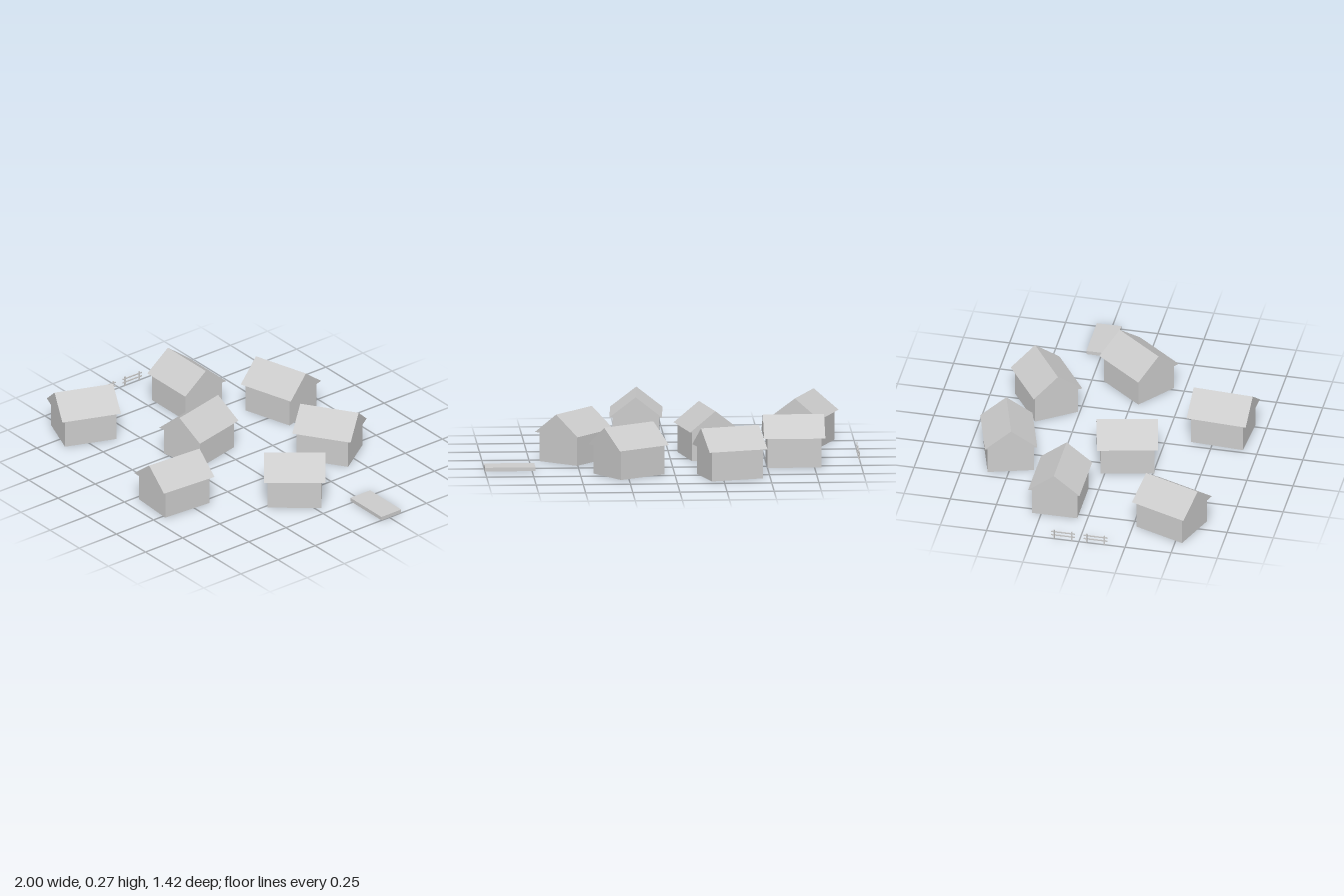
import * as THREE from 'three';

const material = new THREE.MeshStandardMaterial({ color: 0xcccccc, flatShading: true });

function box(name, w, h, d, x, y, z) {
  const mesh = new THREE.Mesh(new THREE.BoxGeometry(w, h, d), material);
  mesh.name = name;
  mesh.position.set(x, y, z);
  return mesh;
}

// Solid gable prism with its ridge along x and its eaves at y = 0
function gableGeometry(length, width, height) {
  const shape = new THREE.Shape();
  shape.moveTo(-width / 2, 0);
  shape.lineTo(width / 2, 0);
  shape.lineTo(0, height);
  shape.closePath();
  const geometry = new THREE.ExtrudeGeometry(shape, { depth: length, bevelEnabled: false });
  geometry.translate(0, 0, -length / 2);
  geometry.rotateY(Math.PI / 2);
  return geometry;
}

const WALL = 0.158;
const roofGeometry = gableGeometry(0.325, 0.278, 0.108);

function createHouse(x, z, degrees) {
  const house = new THREE.Group();
  house.name = 'house';
  const roof = new THREE.Mesh(roofGeometry, material);
  roof.name = 'roof';
  roof.position.y = WALL;
  house.add(box('walls', 0.286, WALL, 0.246, 0, WALL / 2, 0), roof);
  house.position.set(x, 0, z);
  house.rotation.y = THREE.MathUtils.degToRad(degrees);
  return house;
}

// Fence panel running along z: two posts and two rails
function createFence(x, z) {
  const fence = new THREE.Group();
  fence.name = 'fencePanel';
  for (const side of [-1, 1]) fence.add(box('fencePost', 0.006, 0.055, 0.007, 0, 0.0275, side * 0.048));
  for (const y of [0.023, 0.043]) fence.add(box('fenceRail', 0.004, 0.007, 0.128, 0, y, 0));
  fence.position.set(x, 0, z);
  return fence;
}

export function createModel() {
  const village = new THREE.Group();
  village.name = 'village';

  // Houses: x, z, turn of the ridge in degrees
  const houses = [
    [-0.644, -0.177, 0],
    [-0.289, -0.532, 16.5],
    [0.243, -0.441, 34],
    [0.511, 0.003, 51.5],
    [-0.2, 0.091, 102.8],
    [0.155, 0.535, 86.5],
    [-0.733, 0.447, 69.2],
  ];
  for (const [x, z, turn] of houses) village.add(createHouse(x, z, turn));

  // Low dock and the two fence panels
  village.add(box('dock', 0.267, 0.02, 0.133, 0.866, 0.01, -0.264));
  for (const z of [-0.086, 0.09]) village.add(createFence(-0.997, z));

  return village;
}
